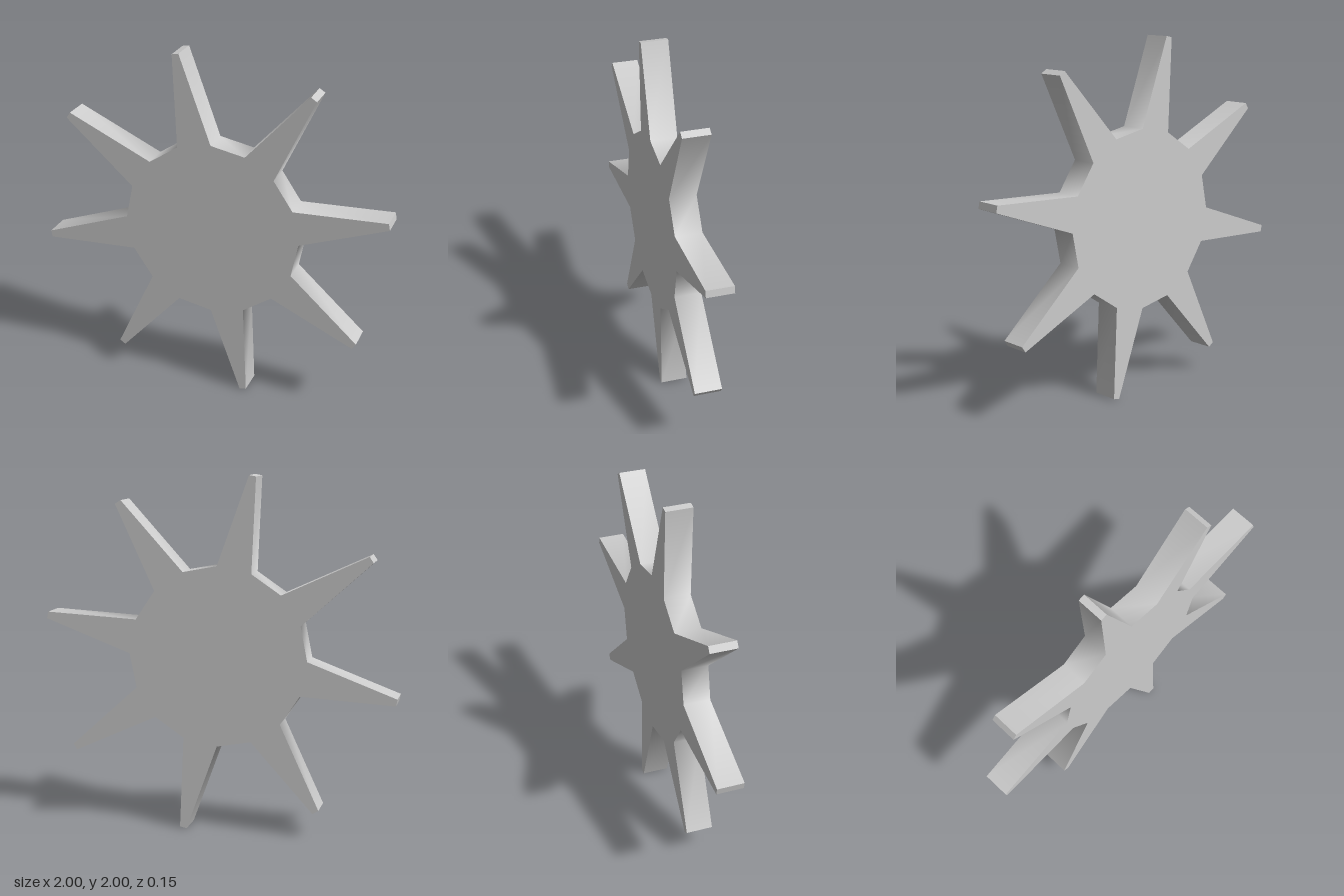
import * as THREE from 'three';
import { toCreasedNormals } from 'three/addons/utils/BufferGeometryUtils.js';

const TEETH = 8;
const ROOT_RADIUS = 0.507;
const TIP_RADIUS = 1.016;
const TIP_HALF_ANGLE = THREE.MathUtils.degToRad(1.1);
const THICKNESS = 0.15;

export function createModel() {
  const group = new THREE.Group();
  group.name = 'spikedWheel';

  // Outline: each tooth rises from two root corners to a narrow blunt tip
  const pitch = (Math.PI * 2) / TEETH;
  const points = [];
  const addPoint = (radius, angle) =>
    points.push(new THREE.Vector2(Math.cos(angle) * radius, Math.sin(angle) * radius));
  for (let i = 0; i < TEETH; i++) {
    const start = i * pitch;
    const middle = start + pitch / 4;
    addPoint(ROOT_RADIUS, start);
    addPoint(TIP_RADIUS, middle - TIP_HALF_ANGLE);
    addPoint(TIP_RADIUS, middle + TIP_HALF_ANGLE);
    addPoint(ROOT_RADIUS, start + pitch / 2);
  }

  // Flat plate, smooth in the valleys and sharp at the tips and faces
  const plate = new THREE.ExtrudeGeometry(new THREE.Shape(points), {
    depth: THICKNESS,
    bevelEnabled: false,
  });
  plate.translate(0, 1, -THICKNESS / 2);

  const wheel = new THREE.Mesh(
    toCreasedNormals(plate, THREE.MathUtils.degToRad(70)),
    new THREE.MeshStandardMaterial({ color: 0xcccccc })
  );
  wheel.name = 'toothedWheel';
  group.add(wheel);
  return group;
}
